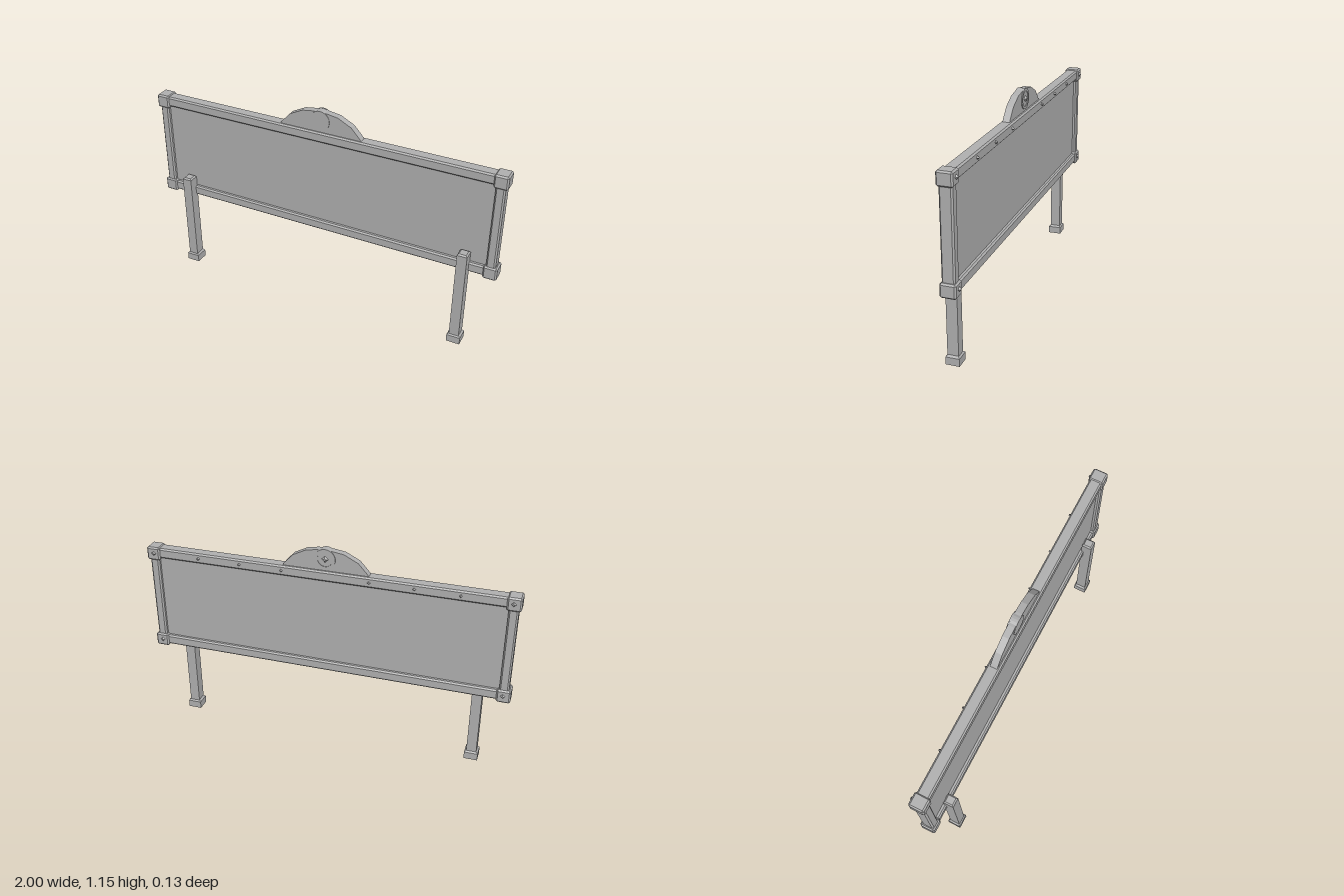
import * as THREE from 'three';
import { ConvexGeometry } from 'three/addons/geometries/ConvexGeometry.js';

const grey = new THREE.MeshStandardMaterial({ color: 0xb0b0b0 });
grey.name = 'grey';

// Box with every edge chamfered by c
function chamferBox(w, h, d, c) {
  const pts = [];
  const [x, y, z] = [w / 2, h / 2, d / 2];
  for (const i of [-1, 1]) for (const j of [-1, 1]) for (const k of [-1, 1]) {
    pts.push(
      new THREE.Vector3(i * x, j * (y - c), k * (z - c)),
      new THREE.Vector3(i * (x - c), j * y, k * (z - c)),
      new THREE.Vector3(i * (x - c), j * (y - c), k * z));
  }
  return new ConvexGeometry(pts);
}

// Box whose four top edges slope inwards
function cappedBox(w, h, d, c) {
  const pts = [];
  for (const i of [-1, 1]) for (const k of [-1, 1]) {
    pts.push(
      new THREE.Vector3(i * w / 2, 0, k * d / 2),
      new THREE.Vector3(i * w / 2, h - c, k * d / 2),
      new THREE.Vector3(i * (w / 2 - c), h, k * (d / 2 - c)));
  }
  return new ConvexGeometry(pts);
}

// Four-sided tapered bolt pointing to -z
function boltGeometry(r, len) {
  return new THREE.CylinderGeometry(r, r * 0.4, len, 4).toNonIndexed().rotateX(Math.PI / 2);
}

export function createModel() {
  const group = new THREE.Group();
  const add = (name, geo, x, y, z) => {
    geo.computeVertexNormals();
    const mesh = new THREE.Mesh(geo, grey);
    mesh.name = name;
    mesh.position.set(x, y, z);
    group.add(mesh);
    return mesh;
  };
  const zMid = -0.0165;

  // Panel and frame
  add('panel', new THREE.BoxGeometry(1.92, 0.54, 0.026), 0, 0.74, zMid);
  add('topRail', chamferBox(1.92, 0.056, 0.067, 0.008), 0, 1.008, zMid);
  add('bottomRail', chamferBox(1.92, 0.056, 0.067, 0.008), 0, 0.473, zMid);
  for (const s of [-1, 1]) {
    add('sidePost', chamferBox(0.05, 0.53, 0.067, 0.008), s * 0.962, 0.74, zMid);
    for (const y of [1.004, 0.472]) {
      add('cornerBlock', chamferBox(0.074, 0.074, 0.082, 0.008), s * 0.963, y, -0.017);
      add('cornerBolt', boltGeometry(0.014, 0.01), s * 0.96, y + 0.004, -0.062);
    }
    // Studs along the back of the top rail
    for (const x of [0.235, 0.468, 0.702]) {
      add('railStud', boltGeometry(0.009, 0.011), s * x, 1.009, -0.055);
    }
    // Legs in front of the frame
    add('leg', cappedBox(0.054, 0.536, 0.058, 0.008), s * 0.824, 0.03, 0.032);
    add('foot', cappedBox(0.074, 0.051, 0.073, 0.01), s * 0.824, 0, 0.0315);
  }

  // Crest on the top rail
  const half = [[0.237, 1.028], [0.218, 1.053], [0.175, 1.1], [0.1, 1.138], [0.04, 1.147]];
  const outline = [...half, ...half.map(([x, y]) => [-x, y]).reverse()];
  const crest = new THREE.Shape(outline.map(([x, y]) => new THREE.Vector2(x, y)));
  add('crest', new THREE.ExtrudeGeometry(crest, { depth: 0.038, bevelEnabled: false }), 0, 0, -0.034);

  // Round medallion through the crest, with a raised rim at the back
  add('medallion', new THREE.CylinderGeometry(0.054, 0.054, 0.042, 24).toNonIndexed().rotateX(Math.PI / 2), 0, 1.1, -0.0145);
  const rim = new THREE.Shape().absarc(0, 0, 0.055, 0, Math.PI * 2);
  rim.holes.push(new THREE.Path().absarc(0, 0, 0.04, 0, Math.PI * 2, true));
  add('medallionRim', new THREE.ExtrudeGeometry(rim, { depth: 0.006, bevelEnabled: false, curveSegments: 24 }), 0, 1.1, -0.0385);
  add('medallionBolt', boltGeometry(0.019, 0.011), 0, 1.1, -0.04);

  return group;
}
